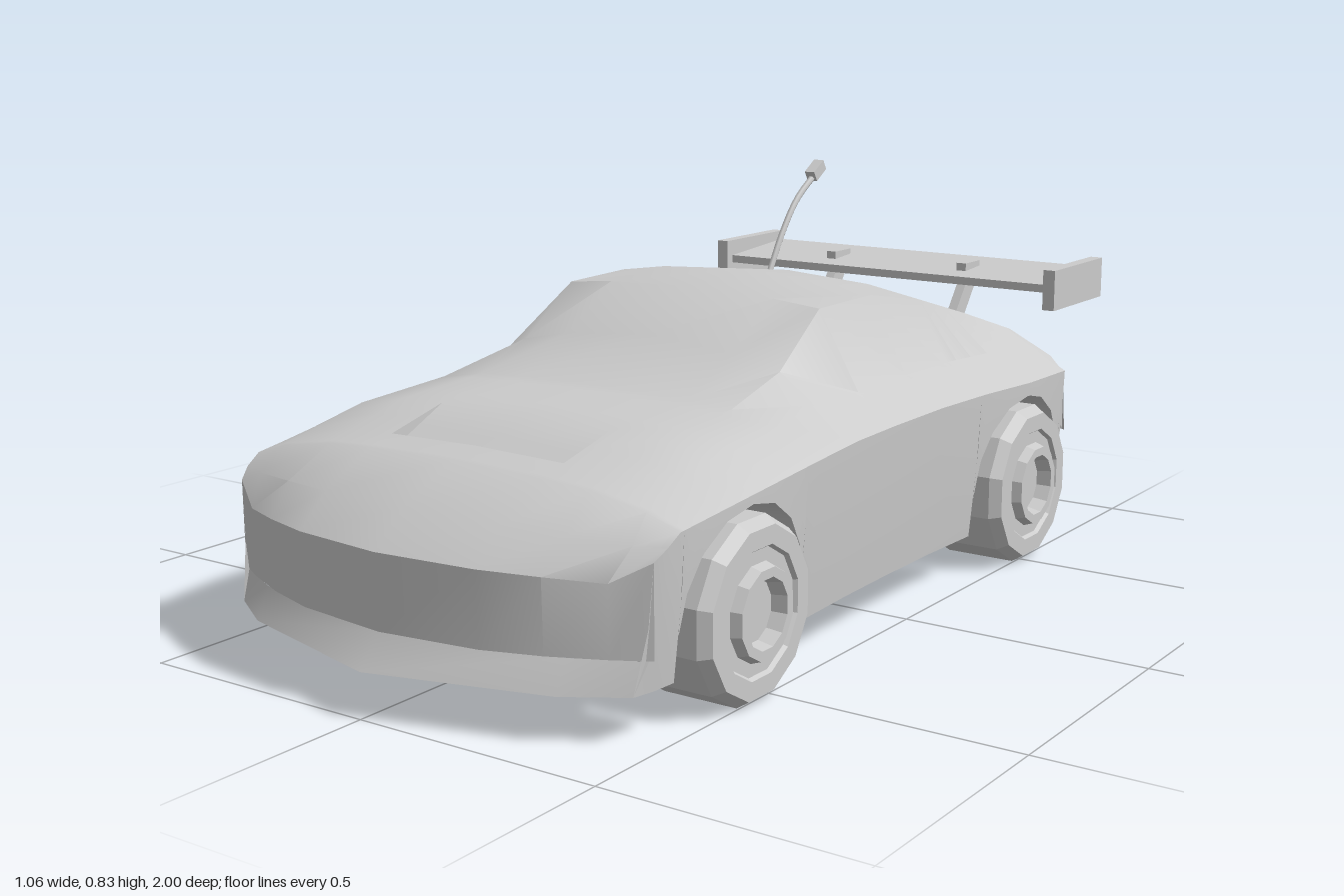
import * as THREE from 'three';
import { toCreasedNormals } from 'three/addons/utils/BufferGeometryUtils.js';

const grey = new THREE.MeshStandardMaterial({ color: 0xcccccc });
const FLOOR = 0.09, ARCH_R = 0.19, AXLE_Y = 0.17, AXLES = [0.55, -0.52];

// z, shoulder x/y, belt x/y, roof edge x/y, centre line y
const KEYS = [
  [0.955, 0.475, 0.315, 0.41, 0.278, 0.31, 0.284, 0.29],
  [0.88, 0.485, 0.335, 0.43, 0.335, 0.32, 0.342, 0.35],
  [0.75, 0.488, 0.355, 0.42, 0.378, 0.3, 0.398, 0.408],
  [0.55, 0.5, 0.377, 0.41, 0.425, 0.3, 0.447, 0.455],
  [0.32, 0.49, 0.388, 0.4, 0.44, 0.3, 0.458, 0.467],
  [0.17, 0.483, 0.394, 0.39, 0.45, 0.31, 0.505, 0.545],
  [0.02, 0.48, 0.395, 0.395, 0.45, 0.305, 0.605, 0.622],
  [-0.17, 0.48, 0.395, 0.395, 0.452, 0.31, 0.607, 0.635],
  [-0.35, 0.486, 0.392, 0.395, 0.45, 0.325, 0.575, 0.61],
  [-0.53, 0.5, 0.388, 0.4, 0.442, 0.34, 0.522, 0.555],
  [-0.72, 0.492, 0.382, 0.41, 0.425, 0.355, 0.462, 0.482],
  [-0.86, 0.47, 0.37, 0.43, 0.4, 0.37, 0.414, 0.42],
];

// nose and tail curve back towards the corners
function bend(z, x) {
  const f = 1 - 0.8 * (x / 0.5) ** 2;
  if (z > 0.75) return 0.75 + (z - 0.75) * f;
  if (z < -0.72) return -0.72 + (z + 0.72) * f;
  return z;
}

function keyAt(z) {
  let i = 0;
  while (i < KEYS.length - 2 && z < KEYS[i + 1][0]) i++;
  const a = KEYS[i], b = KEYS[i + 1], t = (a[0] - z) / (a[0] - b[0]);
  return a.map((v, j) => v + (b[j] - v) * t);
}

// half cross-section from floor centre, around the side, to roof centre
function halfSection({ z, flat, noDip }) {
  const [, xs, ys, xc, yc, xr, yr, yt] = keyAt(z);
  const tail = z < -0.8, nose = z > 0.9;
  const floor = tail ? 0.12 : FLOOR;
  let low = floor;
  for (const c of AXLES) {
    const d = Math.abs(z - c);
    if (!flat && d < ARCH_R + 1e-6) low = AXLE_Y + Math.sqrt(Math.max(0, ARCH_R ** 2 - d * d));
  }
  const sideX = y => xs - 0.022 * ((ys - y) / (ys - FLOOR)) ** 1.5;
  const mid = (low + ys) / 2;
  const dip = !noDip && z <= 0.6901 && z > 0.55 ? 0.03 * (z - 0.55) / 0.14 : 0;
  const yv = yt - (yt - yr) * (0.2 / xr) ** 2;
  const zl = nose ? z + 0.043 : tail ? z + 0.1 : z;
  return [
    [0, floor, zl], [0.345, floor, zl], [0.345, low, zl], [sideX(low), low, zl],
    [sideX(mid), mid, tail ? z - 0.03 : z], [xs, ys, z], [xc, yc, z], [xr, yr, z],
    [0.2, yv, z], [0.2, yv - dip, z], [0, yt - dip, z],
  ];
}

function bodyGeometry() {
  const stations = KEYS.map(k => ({ z: k[0] }));
  stations.push({ z: 0.69, noDip: true }, { z: 0.69 });
  for (const c of AXLES) {
    stations.push({ z: c + ARCH_R, flat: true });
    for (let k = 0; k <= 8; k++) stations.push({ z: c + ARCH_R * Math.cos(k * Math.PI / 8) });
    stations.push({ z: c - ARCH_R, flat: true });
  }
  stations.sort((a, b) => b.z - a.z);
  const halves = stations.map(halfSection);
  // the end rings are squeezed to one height to close the bumpers
  const squeeze = (h, y, z) => h.map(p => [p[0], y, z]);
  halves.unshift(squeeze(halves[0], 0.148, 0.95));
  halves.push(squeeze(halves[halves.length - 1], 0.235, -0.91));

  const pos = [], index = [];
  const n = halves[0].length * 2 - 2;
  for (const h of halves) {
    const ring = [...h, ...h.slice(1, -1).reverse().map(([x, y, z]) => [-x, y, z])];
    for (const [x, y, z] of ring) pos.push(x, y, bend(z, x));
  }
  for (let k = 0; k < halves.length - 1; k++) {
    for (let i = 0; i < n; i++) {
      const a = k * n + i, b = k * n + (i + 1) % n, c = b + n, d = a + n;
      index.push(a, d, b, b, d, c);
    }
  }
  const g = new THREE.BufferGeometry();
  g.setAttribute('position', new THREE.Float32BufferAttribute(pos, 3));
  g.setIndex(index);
  return toCreasedNormals(g, 0.5);
}

export function createModel() {
  const model = new THREE.Group();
  const add = (name, geo, x = 0, y = 0, z = 0, parent = model) => {
    const m = new THREE.Mesh(geo, grey);
    m.name = name;
    m.position.set(x, y, z);
    parent.add(m);
    return m;
  };
  const box = (w, h, d) => new THREE.BoxGeometry(w, h, d);
  const lathe = (pts, sides) => toCreasedNormals(
    new THREE.LatheGeometry(pts.map(p => new THREE.Vector2(...p)), sides, Math.PI / sides), 0.4);

  add('body', bodyGeometry());

  // wheels with a stepped rim and a recessed hub
  const wheelGeo = lathe([[0, 0.345], [0.17, 0.345], [0.17, 0.495], [0.155, 0.518], [0.12, 0.518],
    [0.115, 0.51], [0.09, 0.51], [0.083, 0.53], [0.065, 0.53], [0.058, 0.5], [0, 0.5]], 12);
  for (const side of [-1, 1]) {
    AXLES.forEach((z, i) => {
      const w = add((i ? 'rear' : 'front') + 'Wheel', wheelGeo, 0, AXLE_Y, z);
      w.rotation.z = -side * Math.PI / 2;
    });
  }

  // trim bars that follow the curve of the tail
  const tailBar = (name, halfWidth, y, z, drop, r) => {
    const pts = [];
    for (let i = -6; i <= 6; i++) {
      const x = halfWidth * i / 6;
      pts.push(new THREE.Vector3(x, y - drop * (i / 6) ** 4, bend(z, x)));
    }
    add(name, new THREE.TubeGeometry(new THREE.CatmullRomCurve3(pts), 24, r, 6));
  };
  tailBar('tailLightBar', 0.41, 0.375, -0.868, 0, 0.011);
  tailBar('bumperTrim', 0.44, 0.235, -0.908, 0.02, 0.012);

  // exhaust pipes, open at the back
  const pipeGeo = lathe([[0, 0], [0.035, 0], [0.035, 0.12], [0.025, 0.12], [0.022, 0.07], [0, 0.07]], 12);
  for (const side of [-1, 1]) {
    add('exhaustPipe', pipeGeo, side * 0.21, 0.155, -0.755).rotation.x = -Math.PI / 2;
  }

  // rear wing
  const wing = new THREE.Group();
  wing.name = 'rearWing';
  model.add(wing);
  add('wingBoard', box(0.86, 0.018, 0.225), 0, 0.559, -0.88, wing).rotation.x = 0.07;
  for (const side of [-1, 1]) {
    add('endPlate', box(0.028, 0.09, 0.255), side * 0.435, 0.552, -0.872, wing);
    add('wingStrut', box(0.022, 0.17, 0.04), side * 0.175, 0.488, -0.822, wing).rotation.x = -0.65;
    add('strutCap', box(0.024, 0.018, 0.07), side * 0.175, 0.573, -0.863, wing);
  }

  // curved roof aerial
  const aerial = new THREE.CatmullRomCurve3([[0.61, -0.275], [0.69, -0.325], [0.76, -0.385], [0.815, -0.47]]
    .map(([y, z]) => new THREE.Vector3(0, y, z)));
  add('aerial', new THREE.TubeGeometry(aerial, 12, 0.007, 6));
  add('aerialTip', box(0.024, 0.024, 0.045), 0, 0.817, -0.462).rotation.x = 0.55;

  return model;
}
